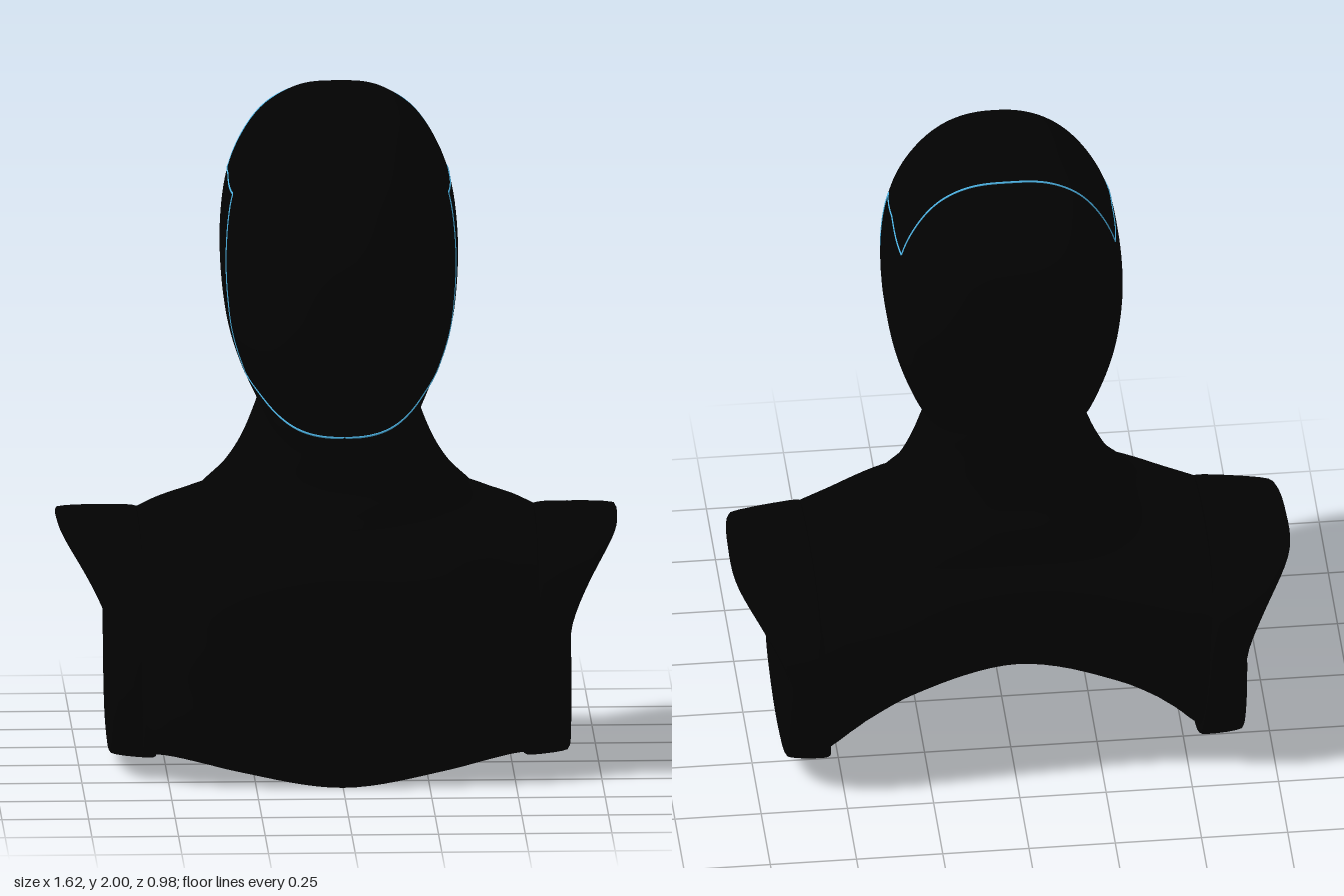
import * as THREE from 'three';

const V = (x, y, z) => new THREE.Vector3(x, y, z);
const spline = (pts, closed = false) => new THREE.CatmullRomCurve3(pts, closed, 'centripetal');

// Smooth skin over closed rings; faces are turned outward by the sign of the volume.
function loft(rings, material, name) {
  const n = rings[0].length, pts = rings.flat(), idx = [];
  for (let r = 0; r < rings.length - 1; r++) {
    for (let i = 0; i < n; i++) {
      const a = r * n + i, b = r * n + (i + 1) % n;
      idx.push(a, b, a + n, b, b + n, a + n);
    }
  }
  let volume = 0;
  const c = new THREE.Vector3();
  for (let i = 0; i < idx.length; i += 3) {
    volume += pts[idx[i]].dot(c.crossVectors(pts[idx[i + 1]], pts[idx[i + 2]]));
  }
  if (volume < 0) idx.reverse();
  const g = new THREE.BufferGeometry().setFromPoints(pts);
  g.setIndex(idx);
  g.computeVertexNormals();
  const mesh = new THREE.Mesh(g, material);
  mesh.name = name;
  return mesh;
}

// Rows of [y, half width, front z, back z], smoothed into dense rows
function smoothRows(rows, count) {
  const a = spline(rows.map(r => V(r[1], r[0], r[2])));
  const b = spline(rows.map(r => V(r[1], r[0], r[3])));
  return Array.from({ length: count + 1 }, (_, i) => {
    const p = a.getPoint(i / count), q = b.getPoint(i / count);
    return [p.y, Math.max(p.x, 0), p.z, q.z];
  });
}

// Horizontal ring for one row: rounder in front, squarer behind
const power = front => front ? 2.35 : 3.2;
function ring([y, w, zf, zb], n = 96) {
  return Array.from({ length: n }, (_, i) => {
    const t = i / n * Math.PI * 2, s = Math.sin(t), c = Math.cos(t), e = 2 / power(c > 0);
    return V(w * Math.sign(s) * Math.abs(s) ** e, y,
      (zf + zb) / 2 + (zf - zb) / 2 * Math.sign(c) * Math.abs(c) ** e);
  });
}

const HEAD = smoothRows([
  [2, 0, 0.0, 0.0], [1.993, 0.08, 0.08, -0.09], [1.965, 0.148, 0.165, -0.185],
  [1.9, 0.23, 0.258, -0.29], [1.8, 0.293, 0.345, -0.363], [1.7, 0.327, 0.405, -0.39],
  [1.55, 0.342, 0.465, -0.4], [1.4, 0.335, 0.488, -0.37], [1.3, 0.318, 0.488, -0.345],
  [1.2, 0.285, 0.475, -0.325], [1.15, 0.262, 0.466, -0.31], [1.1, 0.235, 0.455, -0.17],
  [1.05, 0.205, 0.445, 0], [1.0, 0.15, 0.425, 0.15], [0.975, 0.09, 0.4, 0.26], [0.965, 0, 0.36, 0.36],
], 90);

const NECK = smoothRows([
  [1.25, 0.21, 0.15, -0.31], [1.15, 0.23, 0.17, -0.32], [1.08, 0.225, 0.17, -0.32], [1.0, 0.25, 0.17, -0.322],
  [0.92, 0.285, 0.172, -0.34], [0.85, 0.33, 0.175, -0.365], [0.77, 0.41, 0.2, -0.385],
  [0.68, 0.45, 0.22, -0.39], [0.6, 0.43, 0.18, -0.36],
], 40);

// Half width of the head at a given height and depth
function headX(y, z) {
  const i = Math.max(1, HEAD.findIndex(r => r[0] <= y));
  const a = HEAD[i - 1], b = HEAD[i], k = (a[0] - y) / (a[0] - b[0]);
  const [w, zf, zb] = [1, 2, 3].map(j => a[j] + (b[j] - a[j]) * k);
  const u = (z - (zf + zb) / 2) / ((zf - zb) / 2), p = power(u > 0);
  return Math.abs(u) >= 1 ? 0 : w * (1 - Math.abs(u) ** p) ** (1 / p);
}

// Height of the crown above a given x and depth
function crownY(x, z) {
  let lo = 1.73, hi = 2;
  for (let i = 0; i < 30; i++) {
    const mid = (lo + hi) / 2;
    if (headX(mid, z) > x) lo = mid; else hi = mid;
  }
  return lo;
}

// Torso cross-sections as [z, y], from the front hem over the shoulder and back underneath
const SECTIONS = [
  [0, [[.345, 0], [.368, .09], [.335, .25], [.3, .42], [.29, .6], [.2, .74], [-.1, .82], [-.41, .73],
    [-.452, .6], [-.465, .48], [-.42, .42], [-.1, .43], [.17, .32], [.305, .05]]],
  [.3, [[.325, .045], [.345, .12], [.325, .25], [.3, .42], [.28, .58], [.18, .73], [-.1, .83], [-.385, .73],
    [-.455, .6], [-.475, .44], [-.43, .34], [-.12, .32], [.13, .21], [.28, .08]]],
  [.5, [[.285, .09], [.312, .17], [.292, .31], [.265, .44], [.22, .57], [.14, .675], [-.13, .745], [-.36, .71],
    [-.445, .6], [-.48, .43], [-.44, .23], [-.32, .13], [-.1, .095], [.14, .085]]],
  [.575, [[.23, .09], [.262, .18], [.255, .32], [.235, .45], [.19, .57], [.12, .655], [-.15, .71], [-.35, .68],
    [-.445, .58], [-.483, .42], [-.445, .22], [-.36, .09], [-.1, .035], [.12, .05]]],
];
// Outer face of the shoulder cap, narrower and rounder
const CAP_FACE = [0, [[.19, .105], [.225, .18], [.225, .3], [.205, .42], [.15, .56], [.06, .67], [-.15, .705],
  [-.34, .685], [-.43, .57], [-.47, .42], [-.445, .23], [-.35, .09], [-.1, .033], [.08, .055]]];

const LOOP = 70;
const loop = pts => {
  const c = spline(pts, true);
  return Array.from({ length: LOOP }, (_, i) => c.getPoint(i / LOOP));
};
const sectionAt = ([x, pts], s = 1) => pts.map(([z, y]) => V(x * s, y, z));

function torso(material) {
  const stations = [...SECTIONS.slice(1).reverse().map(s => sectionAt(s, -1)), ...SECTIONS.map(s => sectionAt(s))];
  const columns = stations[0].map((_, j) => spline(stations.map(s => s[j])));
  const rings = Array.from({ length: 49 }, (_, i) => loop(columns.map(c => c.getPoint(i / 48))));
  const tip = x => Array.from({ length: LOOP }, () => V(x, 0.38, -0.09));
  return loft([tip(-0.57), ...rings, tip(0.57)], material, 'torso');
}

// Shoulder cap: a band round the arm opening, closed by a face flaring out at the top
function shoulderCap(side, material) {
  const base = loop(sectionAt(SECTIONS[3])), face = loop(sectionAt(CAP_FACE));
  const inner = y => 0.53 + 0.055 * y;
  const outer = y => 0.663 + 0.875 * Math.max(0, y - 0.42) ** 1.4;
  // [size, position from inner edge (0) to outer face (1)]
  const steps = [[0, 0], [.9, 0], [1, 0], [1.012, .06], [1.018, .15], [1.02, .4], [1.018, .65], [1.012, .85],
    [1.003, .96], [.98, 1], [.9, 1], [.75, 1], [.6, 1], [.4, 1], [.2, 1], [0, 1]];
  const rings = steps.map(([k, t]) => base.map((p, i) => {
    const q = p.clone().lerp(face[i], t);
    const y = 0.37 + (q.y - 0.37) * k, z = -0.09 + (q.z + 0.09) * k;
    return V(side * (inner(y) * (1 - t) + outer(y) * t), y, z);
  }));
  return loft(rings, material, side > 0 ? 'leftShoulderCap' : 'rightShoulderCap');
}

// Mask seam on one side of the head, from chin to crown, sunk slightly into the surface
function maskSeam(side, material) {
  const zy = [];
  for (let i = 0; i <= 30; i++) {
    const z = 0.2 + 0.247 * Math.cos(i / 30 * Math.PI / 2);
    zy.push([z, 1.19 - 0.56 * (z - 0.2)]);
  }
  const corners = [[.2, 1.19], [.197, 1.4], [.175, 1.57], [.15, 1.71], [0, 1.735], [-.184, 1.73]];
  for (let c = 0; c < corners.length - 1; c++) {
    for (let i = 1; i <= 8; i++) {
      zy.push([0, 1].map(k => corners[c][k] + (corners[c + 1][k] - corners[c][k]) * i / 8));
    }
  }
  const points = zy.map(([z, y]) => V(side * headX(y, z) * 0.997, y, z));
  const start = headX(1.73, -0.184);
  for (let i = 1; i <= 30; i++) {
    const x = start * Math.cos(i / 30 * Math.PI / 2);
    points.push(V(side * x * 0.997, crownY(x, -0.184), -0.184));
  }
  const mesh = new THREE.Mesh(new THREE.TubeGeometry(spline(points), 260, 0.0035, 6), material);
  mesh.name = side > 0 ? 'leftMaskSeam' : 'rightMaskSeam';
  return mesh;
}

export function createModel() {
  const black = new THREE.MeshStandardMaterial({ color: 0x020202 });
  black.name = 'black';
  const blue = new THREE.MeshStandardMaterial({ color: 0x52c0f5 });
  blue.name = 'seam blue';

  const model = new THREE.Group();
  model.name = 'bust';
  model.add(loft(HEAD.map(r => ring(r)), black, 'head'));
  model.add(loft(NECK.map(r => ring(r)), black, 'neck'));
  model.add(torso(black));
  for (const side of [-1, 1]) model.add(shoulderCap(side, black), maskSeam(side, blue));
  return model;
}
